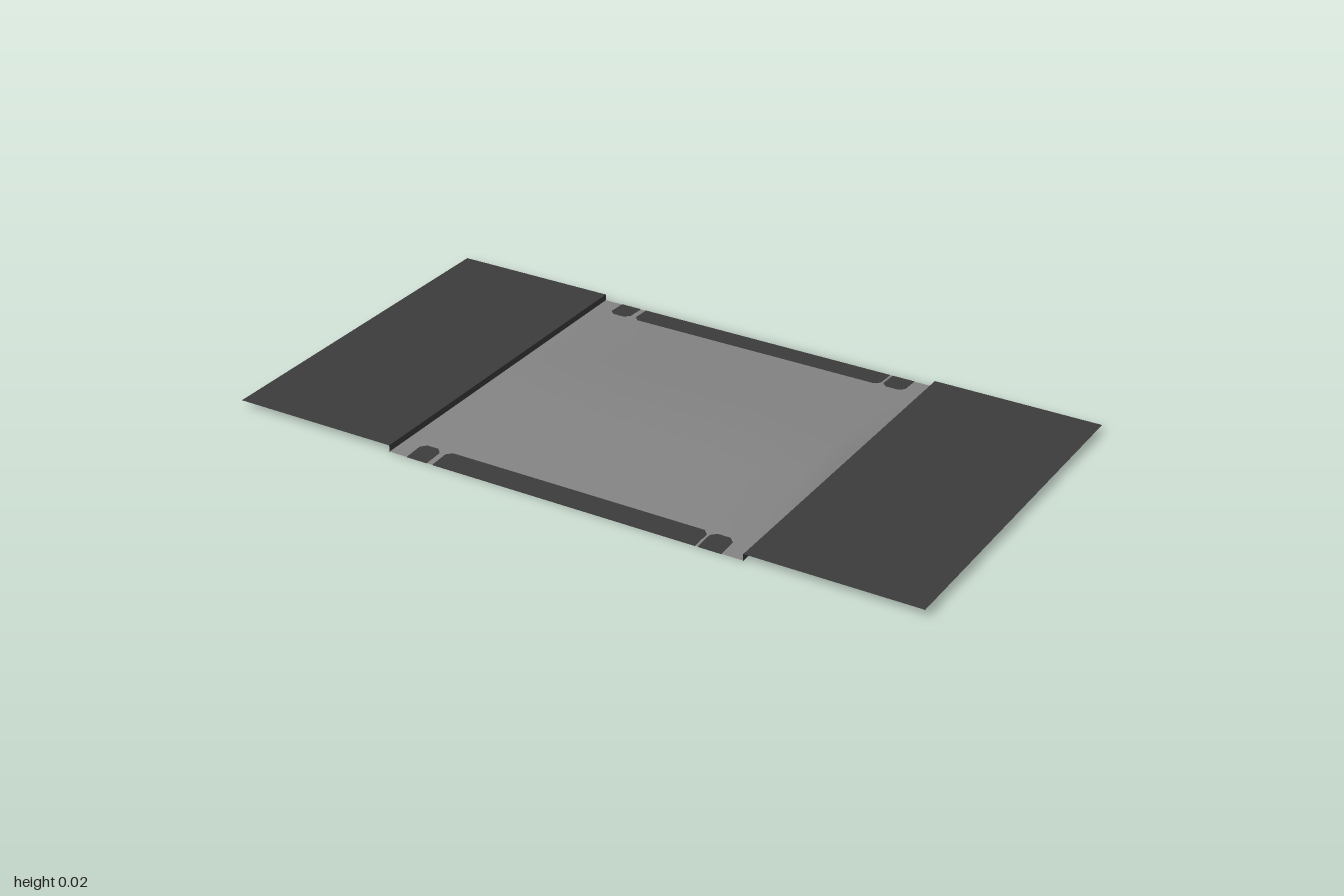
import * as THREE from 'three';

const HALF = 0.52, LIFT = 0.001;
const xs = [-0.52, -0.46, -0.2, 0, 0.2, 0.46, 0.52];
const zs = [-0.52, -0.45, -0.3, -0.15, -0.08, 0, 0.08, 0.15, 0.3, 0.45, 0.52];

// Height of the hump: long ramps along z, short tapers beside the kerbs
function height(x, z) {
  const a = Math.abs(z);
  const ramp = Math.min((HALF - a) * 0.0486, 0.0215 + (0.08 - a) * 0.01);
  const taper = Math.min(1, (HALF - Math.abs(x)) / 0.06);
  return LIFT + Math.max(0, ramp * taper);
}

export function createModel() {
  const model = new THREE.Group();
  const asphalt = new THREE.MeshStandardMaterial({ color: 0x848484, side: THREE.DoubleSide });
  asphalt.name = 'grey asphalt';
  const dark = new THREE.MeshStandardMaterial({ color: 0x3c3c3c, side: THREE.DoubleSide });
  dark.name = 'dark paving';

  const add = (name, geometry, material) => {
    const mesh = new THREE.Mesh(geometry, material);
    mesh.name = name;
    model.add(mesh);
    return mesh;
  };

  // Raised road surface between the kerbs
  const nx = xs.length, nz = zs.length;
  const hump = new THREE.PlaneGeometry(1, 1, nx - 1, nz - 1).rotateX(-Math.PI / 2);
  const p = hump.attributes.position;
  for (let i = 0; i < p.count; i++) {
    const x = xs[i % nx], z = zs[Math.floor(i / nx)];
    p.setXYZ(i, x, height(x, z), z);
  }
  hump.computeVertexNormals();
  add('roadHump', hump, asphalt);

  // Raised pavements with thin kerb walls
  for (const s of [-1, 1]) {
    const side = s > 0 ? 'left' : 'right';
    const pavement = new THREE.PlaneGeometry(1 - HALF, 2 * HALF).rotateX(-Math.PI / 2);
    add(side + 'Pavement', pavement, dark).position.set(s * (1 + HALF) / 2, 0.019, 0);
    const kerb = new THREE.PlaneGeometry(2 * HALF, 0.019).rotateY(-s * Math.PI / 2);
    add(side + 'Kerb', kerb, dark).position.set(s * HALF, 0.0095, 0);
  }

  // Dark bands at both ends of the hump, with clipped inner corners
  const c = 0.014;
  for (const s of [-1, 1]) {
    for (const [x0, x1] of [[-0.465, -0.403], [-0.385, 0.387], [0.395, 0.46]]) {
      const outline = [[x0, 0.52], [x0, 0.45 + c], [x0 + c, 0.45], [x1 - c, 0.45], [x1, 0.45 + c], [x1, 0.52]];
      const shape = new THREE.Shape(outline.map(([x, z]) => new THREE.Vector2(x, -s * z)));
      const band = new THREE.ExtrudeGeometry(shape, { depth: 0.002, bevelEnabled: false })
        .rotateX(-Math.PI / 2);
      const q = band.attributes.position;
      for (let i = 0; i < q.count; i++) q.setY(i, q.getY(i) - LIFT + height(q.getX(i), q.getZ(i)));
      band.computeVertexNormals();
      add(s > 0 ? 'frontBand' : 'backBand', band, dark);
    }
  }
  return model;
}
